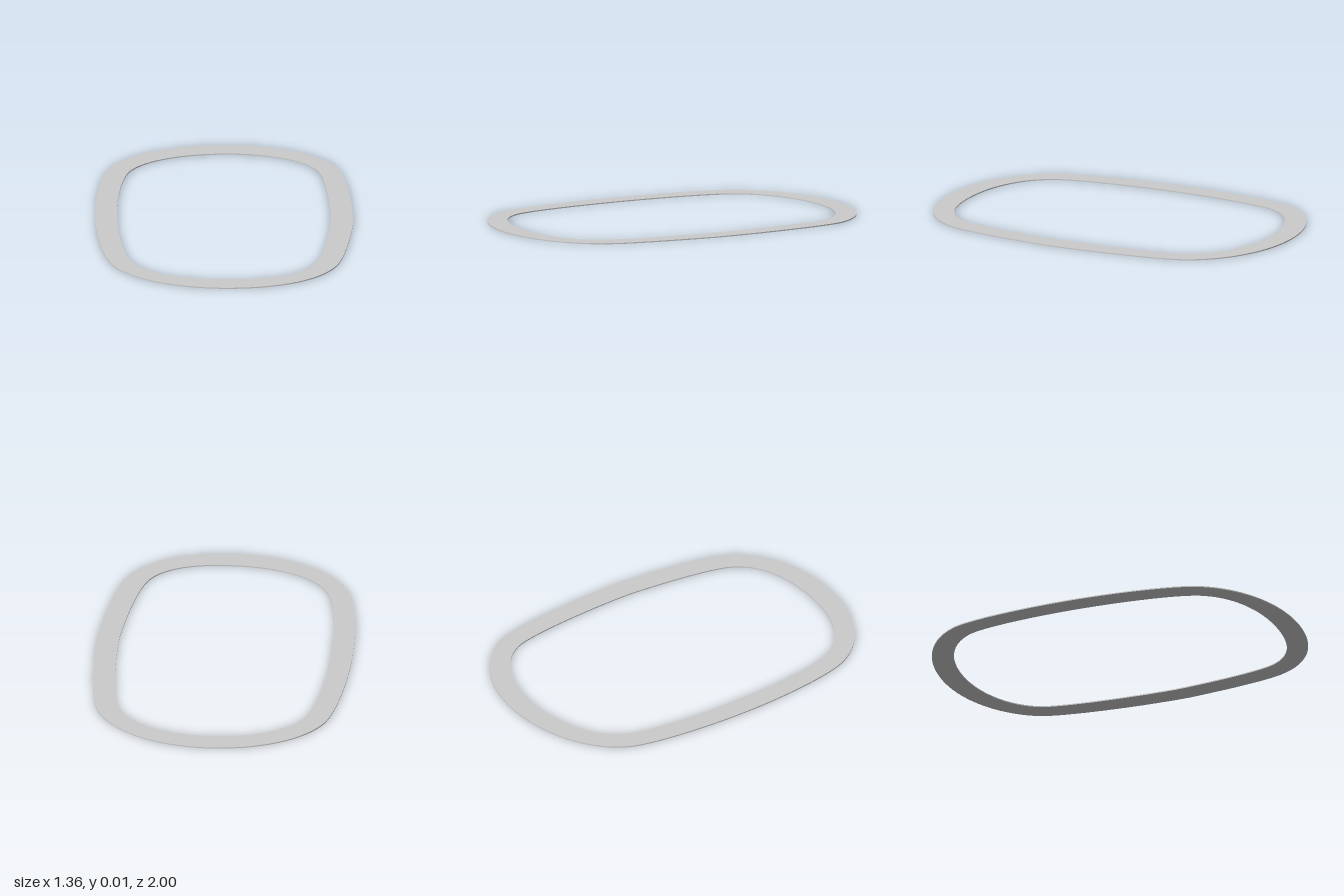
import * as THREE from 'three';
import { toCreasedNormals } from 'three/addons/utils/BufferGeometryUtils.js';

const THICKNESS = 0.006;

// Closed outline of bezier spans; each span is [c1x, c1z, c2x, c2z, x, z]
function trace(path, start, spans) {
  path.moveTo(...start);
  for (const span of spans) path.bezierCurveTo(...span);
  return path;
}

export function createModel() {
  const group = new THREE.Group();
  group.name = 'flatRing';

  // Outer edge: back centre, right side, front centre, left side
  const outline = trace(new THREE.Shape(), [0.015, -1], [
    [-0.27, -1, -0.51, -0.87, -0.595, -0.69],
    [-0.645, -0.58, -0.68, -0.27, -0.68, 0],
    [-0.68, 0.27, -0.645, 0.56, -0.595, 0.67],
    [-0.51, 0.86, -0.27, 1, 0.015, 1],
    [0.29, 1, 0.51, 0.89, 0.59, 0.68],
    [0.63, 0.57, 0.66, 0.32, 0.677, 0.13],
    [0.687, -0.13, 0.655, -0.57, 0.6, -0.69],
    [0.51, -0.87, 0.29, -1, 0.015, -1],
  ]);

  // Inner opening, wound the opposite way so its wall faces inward
  outline.holes.push(trace(new THREE.Path(), [0.015, -0.882], [
    [0.23, -0.882, 0.42, -0.8, 0.495, -0.65],
    [0.54, -0.56, 0.565, -0.17, 0.56, 0.1],
    [0.545, 0.3, 0.51, 0.58, 0.465, 0.68],
    [0.4, 0.82, 0.24, 0.88, 0.015, 0.88],
    [-0.2, 0.88, -0.405, 0.81, -0.485, 0.65],
    [-0.535, 0.55, -0.565, 0.26, -0.565, 0],
    [-0.565, -0.26, -0.535, -0.55, -0.485, -0.65],
    [-0.405, -0.8, -0.2, -0.882, 0.015, -0.882],
  ]));

  // Thin plate laid flat on the ground
  const extruded = new THREE.ExtrudeGeometry(outline, {
    depth: THICKNESS, bevelEnabled: false, curveSegments: 20,
  });
  extruded.rotateX(Math.PI / 2).translate(0, THICKNESS, 0);

  const ring = new THREE.Mesh(
    toCreasedNormals(extruded, Math.PI / 6),
    new THREE.MeshStandardMaterial({ color: 0xcccccc }),
  );
  ring.name = 'ring';
  group.add(ring);
  return group;
}
